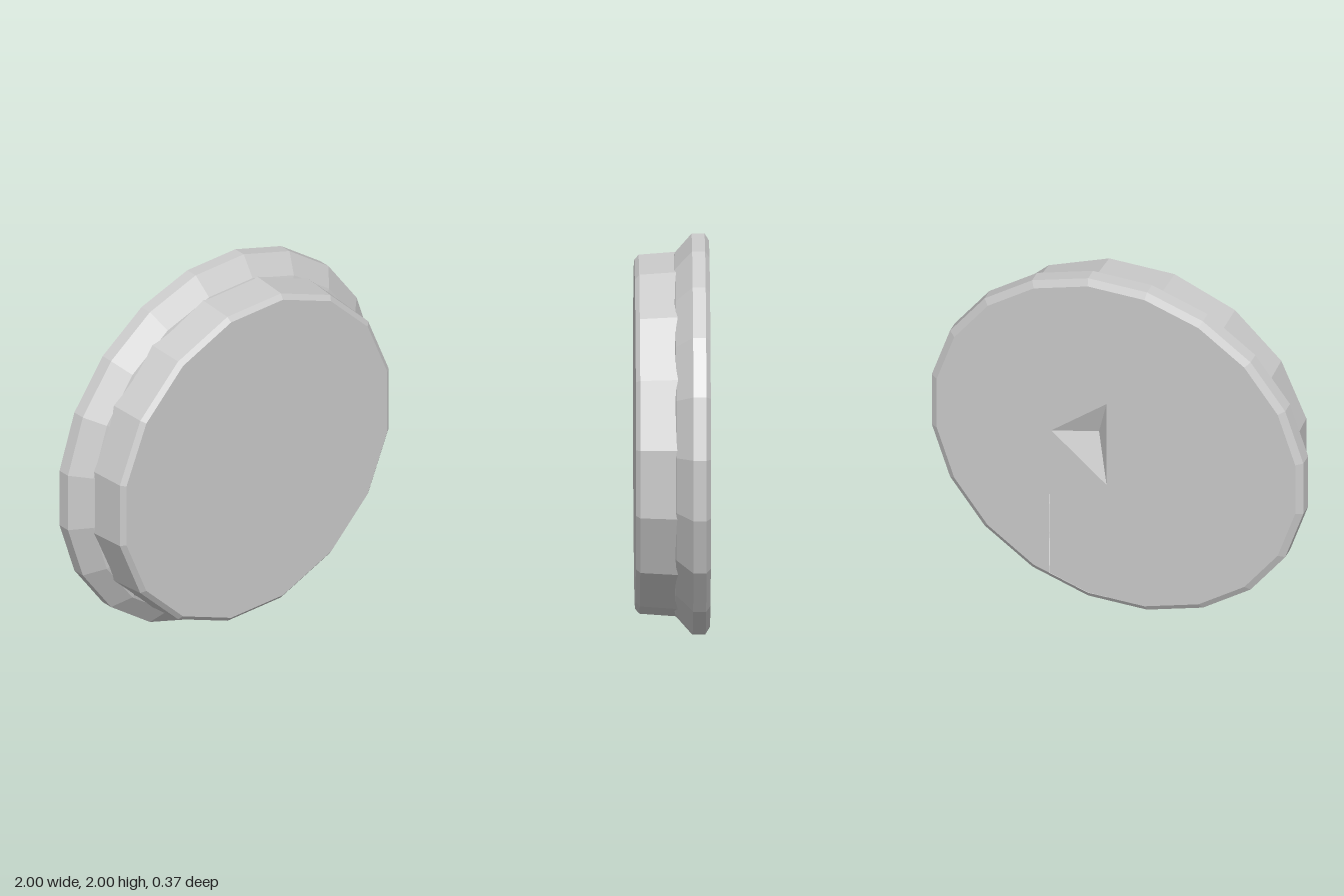
import * as THREE from 'three';

const material = new THREE.MeshStandardMaterial({ color: 0xcccccc, flatShading: true, side: THREE.DoubleSide });
const CENTRE_Y = 1;

// Faceted ring from [flat radius, z] pairs, with flats facing up, down and sideways.
function facetedRing(name, profile, sides) {
  const toCorner = 1 / Math.cos(Math.PI / sides);
  const points = profile.map(([r, z]) => new THREE.Vector2(r * toCorner, z));
  const geometry = new THREE.LatheGeometry(points, sides, Math.PI / sides);
  geometry.rotateX(Math.PI / 2);
  return addName(geometry, name);
}

function addName(geometry, name) {
  const mesh = new THREE.Mesh(geometry, material);
  mesh.name = name;
  return mesh;
}

// Corners of a regular polygon, cut to the band x0 <= x <= x1.
function clippedPolygon(radius, sides, x0, x1) {
  const corner = radius / Math.cos(Math.PI / sides);
  let points = [];
  for (let i = 0; i < sides; i++) {
    const a = ((i + 0.5) / sides) * Math.PI * 2;
    points.push(new THREE.Vector2(corner * Math.cos(a), corner * Math.sin(a)));
  }
  for (const [limit, sign] of [[x0, 1], [x1, -1]]) {
    const kept = [];
    points.forEach((p, i) => {
      const q = points[(i + 1) % points.length];
      const dp = (p.x - limit) * sign, dq = (q.x - limit) * sign;
      if (dp >= 0) kept.push(p);
      if (dp * dq < 0) kept.push(p.clone().lerp(q, dp / (dp - dq)));
    });
    points = kept;
  }
  return points;
}

// Flat panel facing -z.
function backPanel(name, x0, x1, z, hole) {
  const shape = new THREE.Shape(clippedPolygon(0.965, 20, x0, x1));
  if (hole) shape.holes.push(new THREE.Path(hole));
  const geometry = new THREE.ShapeGeometry(shape);
  const index = geometry.index.array;
  for (let i = 0; i < index.length; i += 3) [index[i], index[i + 1]] = [index[i + 1], index[i]];
  geometry.translate(0, 0, z);
  geometry.computeVertexNormals();
  return addName(geometry, name);
}

export function createModel() {
  const model = new THREE.Group();
  const disc = new THREE.Group();
  disc.name = 'disc';
  disc.position.y = CENTRE_Y;
  model.add(disc);

  // Wide rim at the back, sloping in to the body
  disc.add(facetedRing('flange', [
    [0.89, -0.01], [0.905, -0.015], [1.0, -0.1], [1.0, -0.165], [0.965, -0.187],
  ], 20));

  // Narrower front body with a small bevel and a flat face
  disc.add(facetedRing('body', [
    [0, 0.187], [0.86, 0.187], [0.885, 0.165], [0.9, -0.04],
  ], 16));

  // Back plate: two panels and a strip between them
  const z = -0.187, left = 0.05, right = 0.36;
  disc.add(backPanel('backPanelRight', -2, left, z));
  disc.add(backPanel('backPanelLeft', right, 2, z));

  // Strip with a shallow three-sided dent
  const rim = [[left + 0.002, 0.25], [left + 0.002, -0.26], [right - 0.01, 0]];
  const stripZ = z + 0.003;
  disc.add(backPanel('backStrip', left, right, stripZ, rim.map(([x, y]) => new THREE.Vector2(x, y))));
  const deepest = [0.12, 0.01, stripZ + 0.07];
  const positions = [];
  rim.forEach(([x, y], i) => {
    const [nx, ny] = rim[(i + 1) % 3];
    positions.push(nx, ny, stripZ, x, y, stripZ, ...deepest);
  });
  const dent = new THREE.BufferGeometry();
  dent.setAttribute('position', new THREE.Float32BufferAttribute(positions, 3));
  dent.computeVertexNormals();
  disc.add(addName(dent, 'dent'));

  return model;
}
